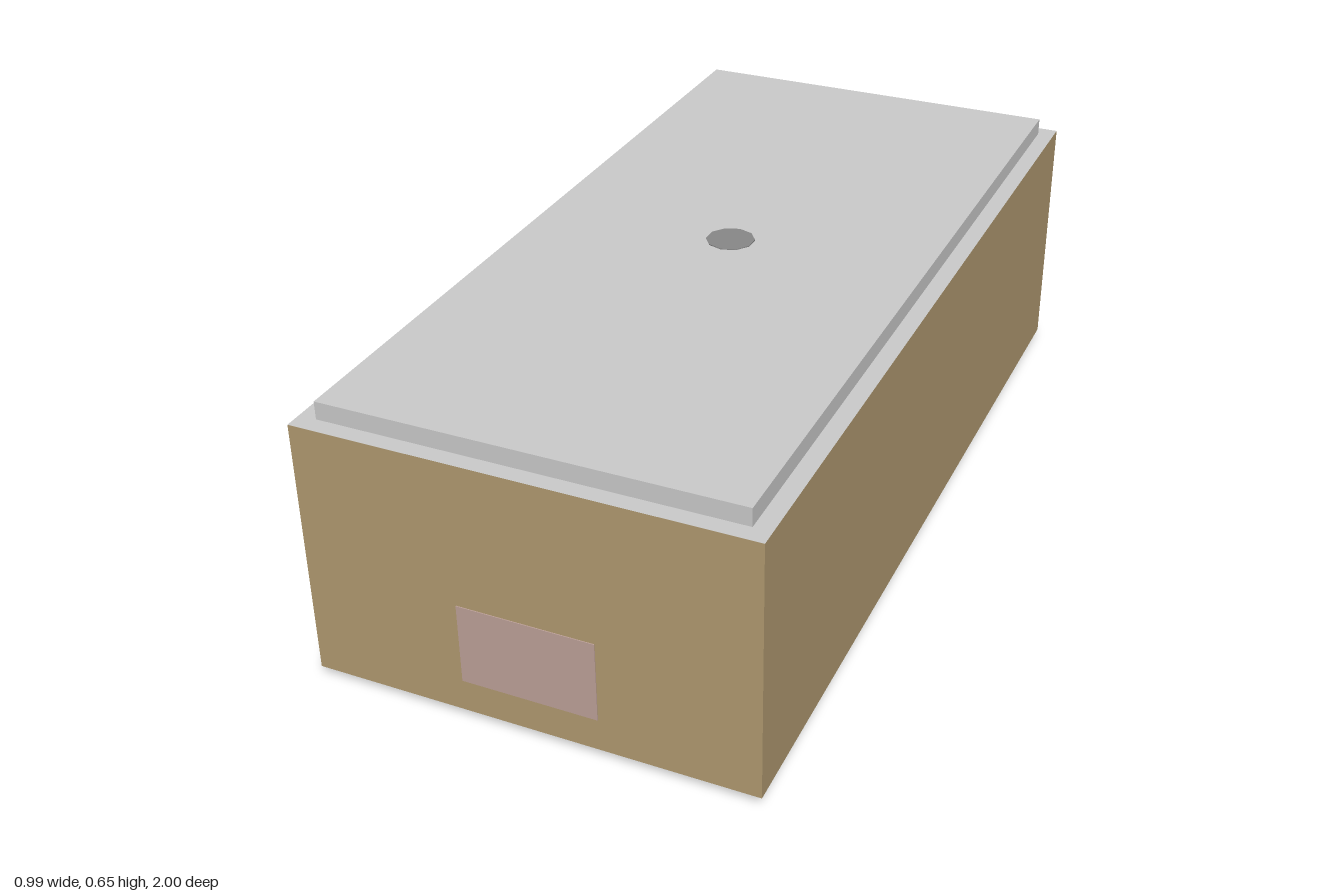
import * as THREE from 'three';

const paint = (color) => new THREE.MeshStandardMaterial({ color });

export function createModel() {
  const model = new THREE.Group();
  const grey = paint(0xcccccc);
  const tan = paint(0xb29b71);
  const darkTan = paint(0x8f7a4e);
  const wood = paint(0x8e706c);
  const dark = paint(0x4a3c36);
  const pink = paint(0xbfa29a);

  // Box given by its lower and upper corners
  function box(name, material, [x0, y0, z0], [x1, y1, z1], parent = model) {
    const mesh = new THREE.Mesh(new THREE.BoxGeometry(x1 - x0, y1 - y0, z1 - z0), material);
    mesh.position.set((x0 + x1) / 2, (y0 + y1) / 2, (z0 + z1) / 2);
    mesh.name = name;
    parent.add(mesh);
    return mesh;
  }

  // Walls, with a grey ledge as their top face
  const walls = box('walls', tan, [-0.493, 0.025, -0.998], [0.493, 0.613, 0.998]);
  walls.material = [tan, tan, grey, darkTan, tan, tan];

  // Stepped footing and floor
  box('footing', darkTan, [-0.484, 0.014, -0.985], [0.484, 0.025, 0.985]);
  box('floor', darkTan, [-0.475, 0.005, -0.975], [0.475, 0.014, 0.975]);

  // Raised roof slab with a flat round vent
  box('roofSlab', grey, [-0.454, 0.613, -0.96], [0.454, 0.653, 0.96]);
  const vent = new THREE.Mesh(new THREE.CylinderGeometry(0.055, 0.055, 0.002, 10), paint(0x888888));
  vent.name = 'roofVent';
  vent.position.y = 0.654;
  model.add(vent);

  // Front window panel
  box('frontWindow', pink, [-0.15, 0.1, 0.997], [0.15, 0.285, 1]);

  // Double door on the right-hand wall
  const door = new THREE.Group();
  door.name = 'doubleDoor';
  model.add(door);
  box('doorFrame', dark, [-0.495, 0, -0.104], [-0.485, 0.215, 0.104], door);
  for (const side of [-1, 1]) {
    const z0 = side < 0 ? -0.1 : 0.004;
    box('doorLeaf', wood, [-0.497, 0.002, z0], [-0.49, 0.212, z0 + 0.096], door);
  }

  // Small wall studs beside the door
  for (const z of [-0.64, -0.45]) {
    box('wallStud', dark, [-0.496, 0.4, z - 0.004], [-0.49, 0.406, z + 0.004]);
  }

  return model;
}
